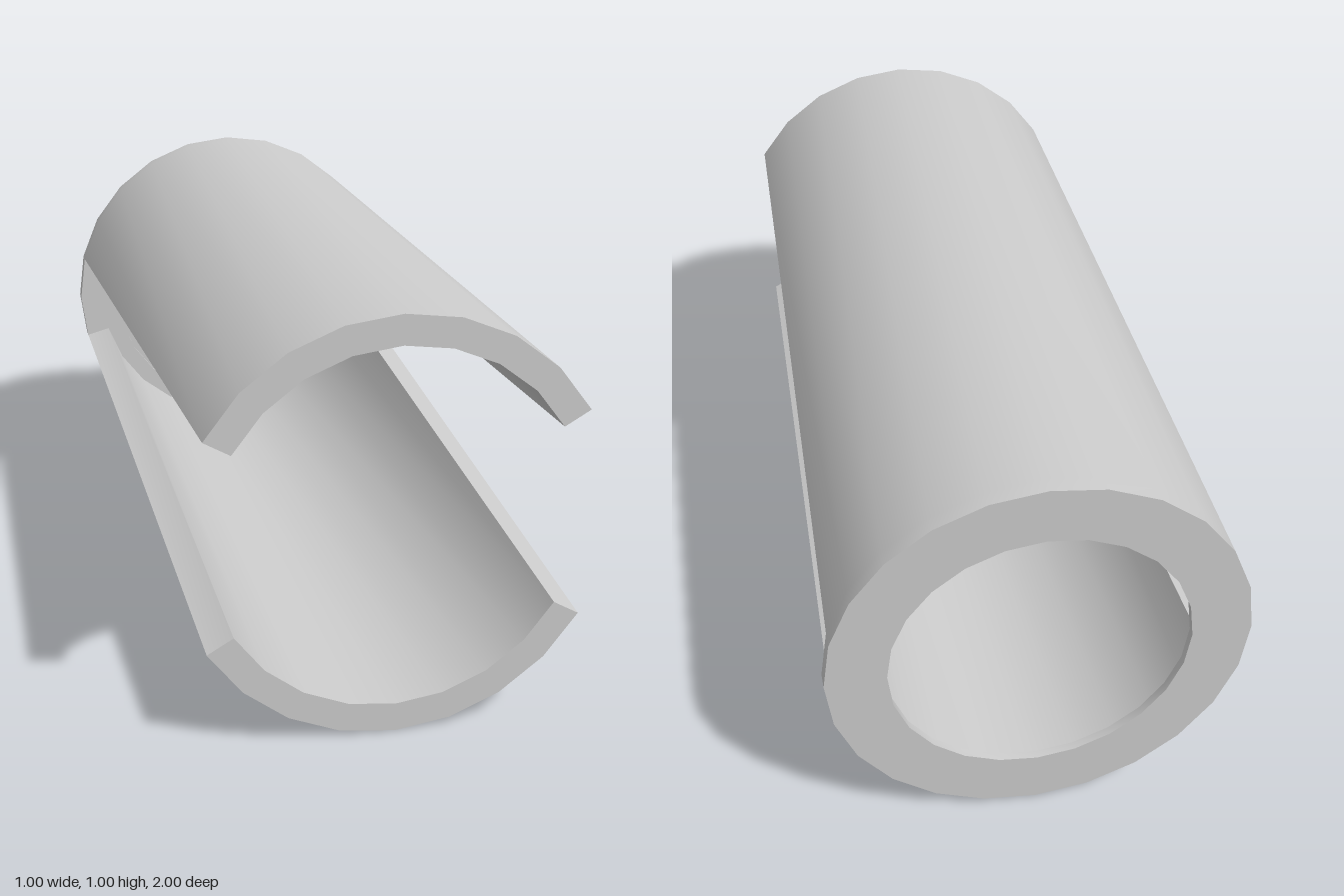
import * as THREE from 'three';
import { toCreasedNormals } from 'three/addons/utils/BufferGeometryUtils.js';

const OUTER = 0.5, INNER = 0.43, STEP = Math.PI / 12;
const FRONT = 1, SLOT_END = -0.96, BACK = -1;
const CREASE = Math.PI / 7;

const material = new THREE.MeshStandardMaterial({ color: 0xcccccc });

const polar = (r, a, z) => [r * Math.cos(a), r * Math.sin(a), z];

// Half sleeve: a jaw whose edges run from 15 degrees at the collar to 30 degrees at the front,
// with its half of the collar rim and the closed end of one slot
function halfSleeveGeometry() {
  const pos = [];
  const tri = (a, b, c) => pos.push(...a, ...b, ...c);
  const quad = (a, b, c, d) => pos.push(...a, ...b, ...c, ...a, ...c, ...d);
  const rim = (i) => polar(OUTER, i * STEP, BACK);
  const back = (r, i) => polar(r, i * STEP, SLOT_END);
  const front = (r, i) => polar(r, THREE.MathUtils.clamp(i, 2, 10) * STEP, FRONT);

  // jaw: outside, inside and front edge
  for (let i = 2; i < 10; i++) {
    quad(back(OUTER, i), back(OUTER, i + 1), front(OUTER, i + 1), front(OUTER, i));
    quad(back(INNER, i), front(INNER, i), front(INNER, i + 1), back(INNER, i + 1));
    quad(front(INNER, i), front(OUTER, i), front(OUTER, i + 1), front(INNER, i + 1));
  }
  // tapering facets beside each slot
  tri(back(OUTER, 1), back(OUTER, 2), front(OUTER, 2));
  tri(back(INNER, 1), front(INNER, 2), back(INNER, 2));
  tri(back(OUTER, 10), back(OUTER, 11), front(OUTER, 10));
  tri(back(INNER, 10), front(INNER, 10), back(INNER, 11));
  // slot walls
  quad(back(INNER, 1), back(OUTER, 1), front(OUTER, 1), front(INNER, 1));
  quad(back(INNER, 11), front(INNER, 11), front(OUTER, 11), back(OUTER, 11));
  // outer rim of the collar
  for (let i = -1; i < 11; i++) quad(rim(i), rim(i + 1), back(OUTER, i + 1), back(OUTER, i));
  // closed end of the slot
  for (let i = -1; i < 1; i++) quad(back(INNER, i), back(OUTER, i), back(OUTER, i + 1), back(INNER, i + 1));

  const g = new THREE.BufferGeometry();
  g.setAttribute('position', new THREE.Float32BufferAttribute(pos, 3));
  return toCreasedNormals(g, CREASE);
}

// Stepped bore and back face of the collar; the lathe axis is turned to lie along z
function collarGeometry() {
  const profile = [
    [INNER, SLOT_END], [INNER, -0.97], [0.38, -0.97], [0.38, -0.98],
    [0.357, -0.98], [0.357, BACK], [OUTER, BACK],
  ].map(([r, z]) => new THREE.Vector2(r, z));
  const g = new THREE.LatheGeometry(profile, 24);
  g.rotateX(Math.PI / 2);
  return toCreasedNormals(g, CREASE);
}

export function createModel() {
  const model = new THREE.Group();
  model.name = 'slottedSleeve';
  const add = (name, geometry, turn = 0) => {
    const mesh = new THREE.Mesh(geometry, material);
    mesh.name = name;
    mesh.position.y = OUTER;
    mesh.rotation.z = turn;
    model.add(mesh);
  };

  const half = halfSleeveGeometry();
  add('upperJaw', half);
  add('lowerJaw', half, Math.PI);
  add('collarBore', collarGeometry());

  return model;
}
